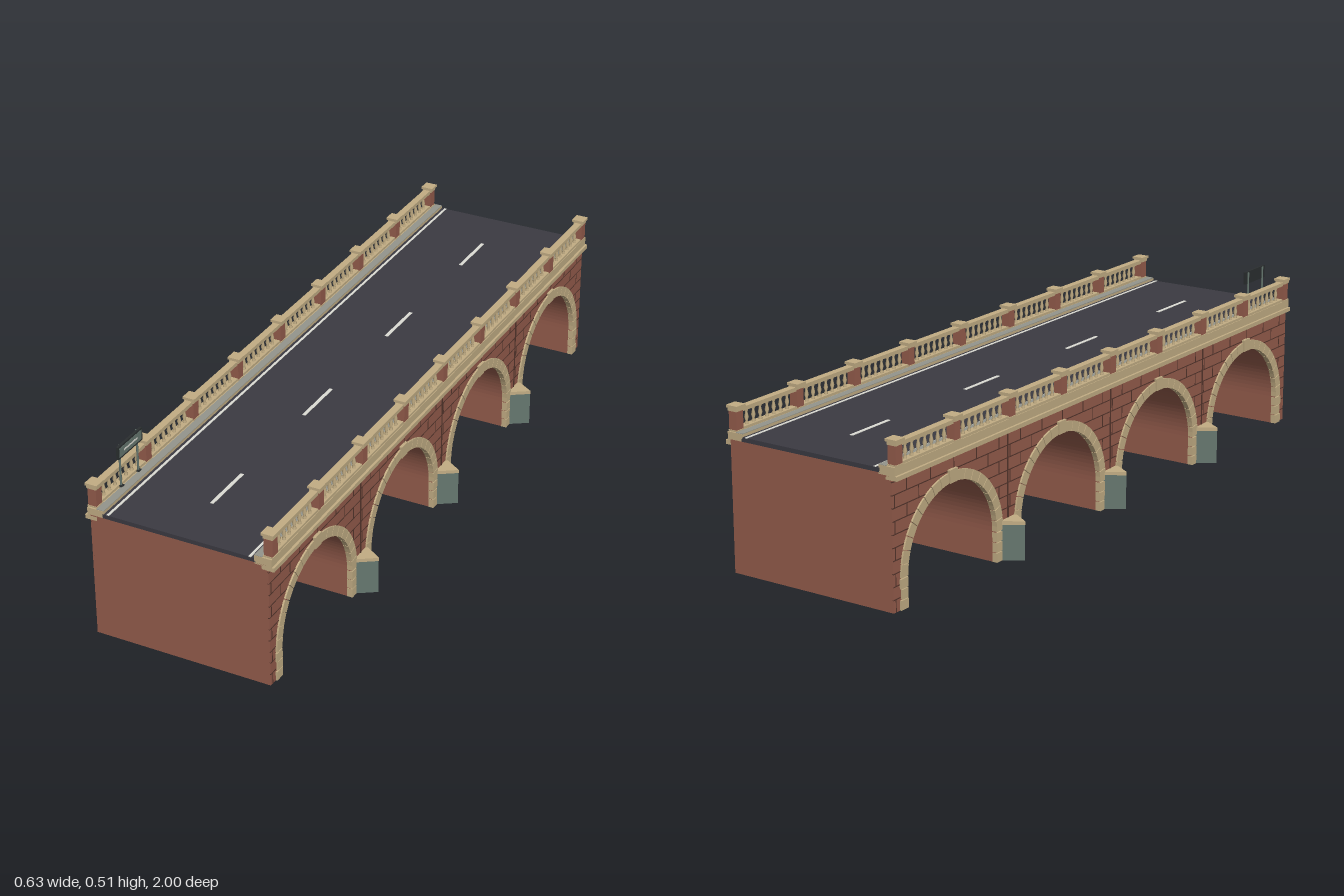
import * as THREE from 'three';

const mat = (name, color) => {
  const m = new THREE.MeshStandardMaterial({ color });
  m.name = name;
  return m;
};

// arch layout along the bridge (z)
const ARCHES = [-0.75, -0.25, 0.25, 0.75];
const SPRING = 0.085, R_IN = 0.195, R_OUT = 0.222;

export function createModel() {
  const brick = mat('brick', 0x945c4c);
  const mortar = mat('mortar', 0x54352c);
  const sand = mat('sandstone', 0xc2ad84);
  const slate = mat('slate', 0x66776f);
  const asphalt = mat('asphalt', 0x3b3a42);
  const paint = mat('road paint', 0xdcdcd4);
  const paving = mat('paving', 0x94958c);
  const dark = mat('sign black', 0x2a2e2f);

  const bridge = new THREE.Group();
  bridge.name = 'archBridge';

  const add = (parent, name, geo, material) => {
    const m = new THREE.Mesh(geo, material);
    m.name = name;
    parent.add(m);
    return m;
  };
  // box given by its min and max on each axis
  const box = (parent, name, material, x0, x1, y0, y1, z0, z1) => {
    const m = add(parent, name, new THREE.BoxGeometry(x1 - x0, y1 - y0, z1 - z0), material);
    m.position.set((x0 + x1) / 2, (y0 + y1) / 2, (z0 + z1) / 2);
    return m;
  };
  // extrude a (z, y) outline along x, with its outer face at x = xMax
  const extrudeX = (shape, xMax, depth, curveSegments = 12) =>
    new THREE.ExtrudeGeometry(shape, { depth, bevelEnabled: false, curveSegments })
      .rotateY(-Math.PI / 2).translate(xMax, 0, 0);

  // masonry body with four barrel vaults
  const body = new THREE.Shape();
  body.moveTo(-1, 0);
  for (const c of ARCHES) {
    body.lineTo(c - R_IN, 0);
    body.lineTo(c - R_IN, SPRING);
    body.absarc(c, SPRING, R_IN, Math.PI, 0, true);
    body.lineTo(c + R_IN, 0);
  }
  body.lineTo(1, 0);
  body.lineTo(1, 0.365);
  body.lineTo(-1, 0.365);
  body.closePath();
  add(bridge, 'masonryBody', extrudeX(body, 0.259, 0.518, 24), brick);

  // road deck and markings
  box(bridge, 'roadDeck', asphalt, -0.222, 0.222, 0.365, 0.377, -1, 1);
  for (const c of ARCHES) box(bridge, 'centreDash', paint, -0.005, 0.005, 0.376, 0.3785, c - 0.08, c + 0.08);

  const voussoirs = 19;
  const wedge = (a0, a1, r0, r1) => {
    const s = new THREE.Shape();
    [[a0, r0], [a0, r1], [(a0 + a1) / 2, r1], [a1, r1], [a1, r0], [(a0 + a1) / 2, r0]].forEach(([a, r], i) =>
      s[i ? 'lineTo' : 'moveTo'](Math.cos(a) * r, Math.sin(a) * r));
    s.closePath();
    return s;
  };
  const step = Math.PI / voussoirs;
  const wedgeGeos = [];
  for (let i = 0; i < voussoirs; i++) {
    const key = i === (voussoirs - 1) / 2;
    wedgeGeos.push(extrudeX(
      wedge(i * step + 0.005, (i + 1) * step - 0.005, R_IN - 0.001, key ? 0.23 : R_OUT),
      key ? 0.267 : 0.264, 0.016));
  }

  const balusterGeo = new THREE.LatheGeometry(
    [[0.005, 0], [0.005, 0.005], [0.003, 0.009], [0.006, 0.019], [0.003, 0.033], [0.005, 0.038], [0.005, 0.043]]
      .map(([r, y]) => new THREE.Vector2(r, y)), 8);

  const prism = (points, height) => new THREE.ExtrudeGeometry(
    new THREE.Shape(points.map(([x, z]) => new THREE.Vector2(x, -z))),
    { depth: height, bevelEnabled: false }).rotateX(-Math.PI / 2);

  // one long side, built on +x
  const buildSide = (name) => {
    const side = new THREE.Group();
    side.name = name;

    // arch rings and jamb stones
    for (const c of ARCHES) {
      const ring = new THREE.Group();
      ring.name = 'archRing';
      ring.position.z = c;
      side.add(ring);
      wedgeGeos.forEach((g, i) => {
        const m = add(ring, i === 9 ? 'keystone' : 'voussoir', g, sand);
        m.position.y = SPRING;
      });
      const h = SPRING / 3;
      for (const s of [-1, 1]) for (let k = 0; k < 3; k++) {
        const a = s * (R_IN - 0.001), b = s * (k % 2 ? R_OUT - 0.003 : R_OUT + 0.002);
        box(ring, 'jambStone', sand, 0.248, 0.264, k * h, (k + 1) * h - 0.002, Math.min(a, b), Math.max(a, b));
      }
    }

    // mortar joints over the wall between the rings
    const joints = new THREE.Group();
    joints.name = 'mortarJoints';
    side.add(joints);
    const halfSpan = (y) => y <= SPRING ? R_OUT : Math.sqrt(Math.max(0, R_OUT ** 2 - (y - SPRING) ** 2));
    const course = 0.0345;
    for (let row = 1; row <= 10; row++) {
      const y = row * course, h = halfSpan(y);
      const edges = h > 0 ? [-1, ...ARCHES.flatMap((c) => [c - h, c + h]), 1] : [-1, 1];
      for (let i = 0; i < edges.length; i += 2) {
        box(joints, 'bedJoint', mortar, 0.255, 0.2597, y - 0.0014, y + 0.0014, edges[i], edges[i + 1]);
      }
      // staggered upright joints below this course
      const reach = halfSpan(y - course);
      for (let z = -0.96 + (row % 2) * 0.05; z < 1; z += 0.1) {
        if (ARCHES.every((c) => Math.abs(z - c) > reach + 0.003)) {
          box(joints, 'uprightJoint', mortar, 0.255, 0.2597, y - course, y, z - 0.0014, z + 0.0014);
        }
      }
    }

    // pointed cutwaters with stone caps, and the joint above each pier
    for (const z of [-0.5, 0, 0.5]) {
      add(side, 'cutwater', prism([[0.25, -0.034], [0.262, -0.034], [0.314, 0], [0.262, 0.034], [0.25, 0.034]], 0.1), slate)
        .position.z = z;
      add(side, 'cutwaterCap', prism([[0.25, -0.035], [0.262, -0.035], [0.315, 0], [0.262, 0.035], [0.25, 0.035]], 0.01), sand)
        .position.set(0, 0.1, z);
      box(side, 'pierJoint', mortar, 0.255, 0.2605, 0.11, 0.35, z - 0.0025, z + 0.0025);
    }

    // cornice, kerb, footway and edge line
    box(side, 'cornice', sand, 0.24, 0.275, 0.35, 0.362, -1, 1);
    box(side, 'kerbCourse', sand, 0.219, 0.268, 0.361, 0.385, -1, 1);
    box(side, 'footway', paving, 0.219, 0.241, 0.384, 0.3865, -0.999, 0.999);
    box(side, 'edgeLine', paint, 0.203, 0.21, 0.376, 0.3785, -1, 1);

    // balustrade
    const pitch = 0.245;
    box(side, 'bottomRail', sand, 0.245, 0.266, 0.385, 0.392, -0.98, 0.98);
    box(side, 'topRail', sand, 0.245, 0.266, 0.434, 0.445, -0.98, 0.98);
    for (let i = -4; i <= 4; i++) {
      const z = i * pitch;
      box(side, 'post', brick, 0.243, 0.268, 0.385, 0.44, z - 0.0135, z + 0.0135);
      box(side, 'postBase', sand, 0.241, 0.27, 0.385, 0.389, z - 0.015, z + 0.015);
      box(side, 'postNeck', sand, 0.241, 0.27, 0.439, 0.449, z - 0.015, z + 0.015);
      box(side, 'postCap', sand, 0.237, 0.273, 0.448, 0.455, z - 0.018, z + 0.018);
      if (i < 4) for (let k = 1; k <= 7; k++) {
        add(side, 'baluster', balusterGeo, sand).position.set(0.2555, 0.3915, z + 0.0135 + (k * (pitch - 0.027)) / 8);
      }
    }
    return side;
  };
  bridge.add(buildSide('leftSide'));
  const right = buildSide('rightSide');
  right.rotation.y = Math.PI;
  bridge.add(right);

  // roadside sign on two poles, facing the road
  const sign = new THREE.Group();
  sign.name = 'roadSign';
  bridge.add(sign);
  for (const z of [0.79, 0.875]) {
    const pole = add(sign, 'signPole', new THREE.CylinderGeometry(0.003, 0.003, 0.125, 8), slate);
    pole.position.set(-0.243, 0.4475, z);
    box(sign, 'poleFoot', dark, -0.248, -0.237, 0.385, 0.39, z - 0.006, z + 0.006);
  }
  box(sign, 'signBoard', dark, -0.242, -0.235, 0.475, 0.512, 0.775, 0.892);
  box(sign, 'signPanel', slate, -0.236, -0.2342, 0.48, 0.507, 0.78, 0.887);
  box(sign, 'signStripe', paint, -0.235, -0.2338, 0.491, 0.496, 0.8, 0.867);

  return bridge;
}
